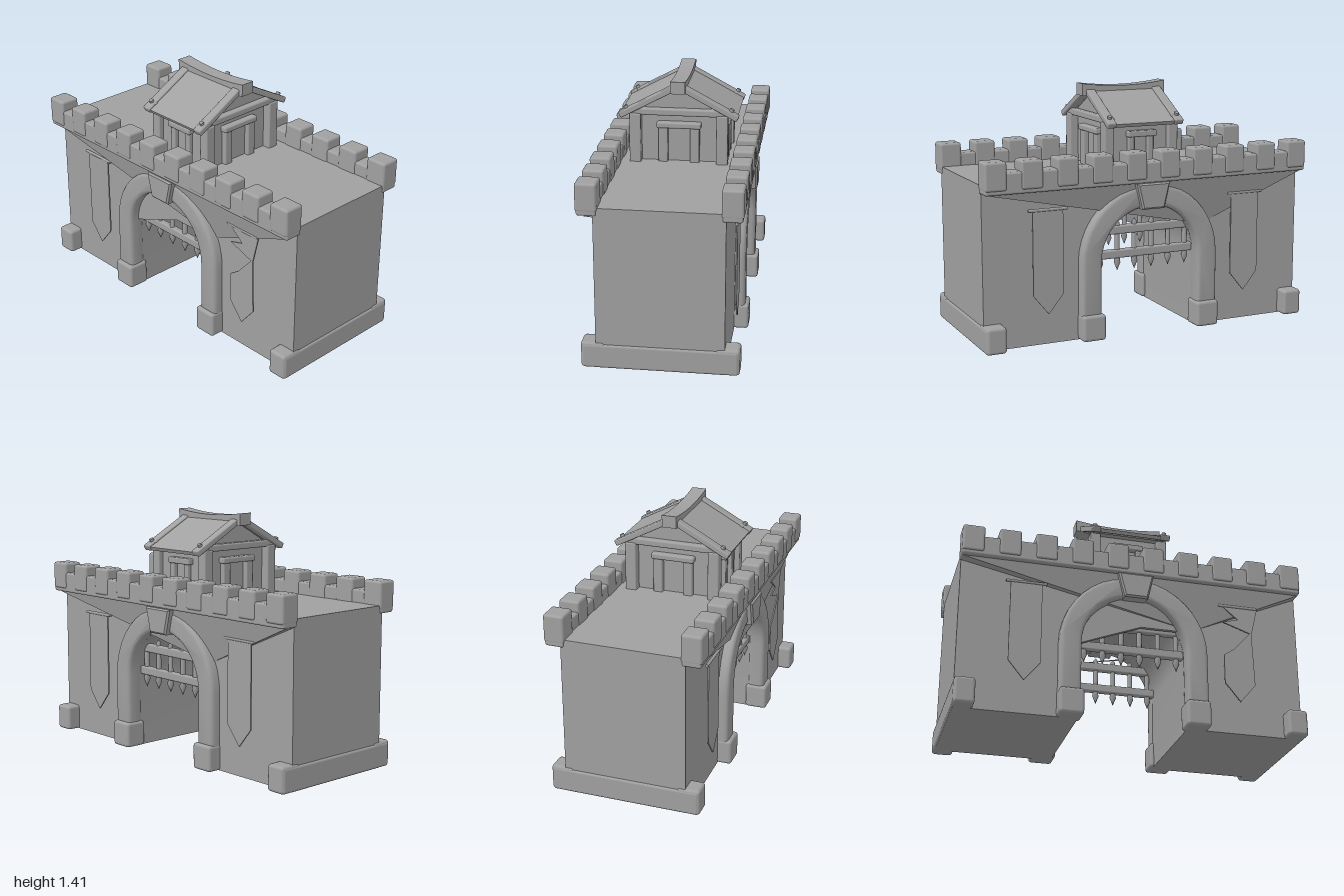
import * as THREE from 'three';
import { RoundedBoxGeometry } from 'three/addons/geometries/RoundedBoxGeometry.js';
import { toCreasedNormals } from 'three/addons/utils/BufferGeometryUtils.js';

const stone = new THREE.MeshStandardMaterial({ color: 0xa0a0a0 });
stone.name = 'grey stone';

function add(parent, name, geo, x = 0, y = 0, z = 0) {
  const m = new THREE.Mesh(geo, stone);
  m.name = name;
  m.position.set(x, y, z);
  parent.add(m);
  return m;
}

// Rounded block given by its min and max corners
function block(parent, name, [x0, y0, z0], [x1, y1, z1], r = 0.012) {
  const geo = new RoundedBoxGeometry(x1 - x0, y1 - y0, z1 - z0, 2, r);
  return add(parent, name, geo, (x0 + x1) / 2, (y0 + y1) / 2, (z0 + z1) / 2);
}

const polygon = (pts) => new THREE.Shape(pts.map(([x, y]) => new THREE.Vector2(x, y)));

function plate(pts, depth) {
  return new THREE.ExtrudeGeometry(polygon(pts), { depth, bevelEnabled: false });
}

// Points over an arch from the right leg to the left leg
function archPoints(r, base, cy, n = 20) {
  const pts = [[r, base]];
  for (let i = 0; i <= n; i++) {
    const a = (i / n) * Math.PI;
    pts.push([r * Math.cos(a), cy + r * Math.sin(a)]);
  }
  pts.push([-r, base]);
  return pts;
}

function buildWalls(g) {
  // Main block with an arched passage
  const outer = [[-0.99, 0], [-0.99, 0.925], [0.99, 0.925], [0.99, 0]];
  const core = plate([...outer, ...archPoints(0.31, 0, 0.43)], 0.68);
  add(g, 'gatehouseBody', toCreasedNormals(core, 0.6), 0, 0, -0.35);

  // Front skin with an uneven opening
  const skin = [...outer, [0.31, 0], [0.31, 0.59], [0.05, 0.59], [-0.31, 0.45], [-0.31, 0]];
  add(g, 'frontWall', plate(skin, 0.02), 0, 0, 0.33);

  // Plinths along both ends
  for (const s of [-1, 1]) {
    const b = block(g, 'endPlinth', [-0.025, 0, -0.425], [0.025, 0.14, 0.425], 0.015);
    b.position.x = s * 0.975;
  }
}

// Parapet, arch, footings, portcullis and corbel of one long side, facing +z
function buildFace(name, tornBanner) {
  const f = new THREE.Group();
  f.name = name;

  // Battlements
  block(f, 'parapet', [-0.997, 0.88, 0.33], [0.997, 1.0, 0.437]);
  for (let i = 0; i < 10; i++) {
    const x = -0.935 + i * 0.2078;
    block(f, 'merlon', [x - 0.063, 0.9, 0.325], [x + 0.063, 1.06, 0.443], 0.015);
  }

  // Sloping corbel under the parapet
  const A = [-0.99, 0.88, 0.41], B = [0.99, 0.88, 0.41], C = [0.35, 0.6, 0.35];
  const D = [-0.99, 0.88, 0.35], E = [0.99, 0.88, 0.35];
  const corbel = new THREE.BufferGeometry();
  corbel.setAttribute('position', new THREE.Float32BufferAttribute([A, C, B, A, D, C, B, C, E].flat(), 3));
  corbel.computeVertexNormals();
  add(f, 'corbel', corbel);

  // Arch moulding with keystone
  const ring = polygon([...archPoints(0.405, 0.1, 0.44), ...archPoints(0.325, 0.1, 0.44).reverse()]);
  const arch = new THREE.ExtrudeGeometry(ring, {
    depth: 0.05, bevelThickness: 0.025, bevelSize: 0.022, bevelSegments: 3,
  });
  add(f, 'archMoulding', toCreasedNormals(arch, 0.8), 0, 0, 0.335);
  const key = new THREE.ExtrudeGeometry(
    polygon([[-0.06, 0.74], [0.06, 0.74], [0.092, 0.87], [-0.092, 0.87]]),
    { depth: 0.08, bevelThickness: 0.01, bevelSize: 0.01, bevelSegments: 1 });
  add(f, 'keystone', key, 0, 0, 0.353);

  // Footing blocks
  for (const s of [-1, 1]) {
    for (const [x, w] of [[0.36, 0.14], [0.94, 0.115]]) {
      block(f, 'footing', [s * x - w / 2, 0, 0.3], [s * x + w / 2, 0.15, 0.432], 0.018);
    }
  }

  // Portcullis
  const gate = new THREE.Group();
  gate.name = 'portcullis';
  for (const y of [0.46, 0.6]) block(gate, 'gateBar', [-0.31, y - 0.025, 0.275], [0.31, y + 0.025, 0.315], 0.01);
  for (let i = 0; i < 6; i++) {
    const x = -0.27 + i * 0.108;
    const spike = new THREE.LatheGeometry(
      [[0, 0.36], [0.02, 0.41], [0.015, 0.44], [0.015, 0.64], [0, 0.66]].map((p) => new THREE.Vector2(...p)), 8);
    add(gate, 'gateSpike', spike, x, 0, 0.295);
  }
  f.add(gate);

  // Hanging banners
  const whole = [[-0.09, 0.77], [-0.09, 0.29], [0, 0.18], [0.09, 0.29], [0.09, 0.77]];
  const torn = [[-0.09, 0.46], [-0.09, 0.29], [0, 0.18], [0.09, 0.29], [0.08, 0.6], [0.12, 0.765],
    [-0.09, 0.765], [0, 0.69], [-0.09, 0.665], [0.07, 0.61], [-0.03, 0.5]];
  for (const s of [-1, 1]) {
    const pts = s > 0 && tornBanner ? torn : whole;
    add(f, 'banner', plate(pts, 0.008), s * 0.62, 0, 0.378);
    const rod = add(f, 'bannerRod', new THREE.CylinderGeometry(0.009, 0.009, 0.23, 8), s * 0.62, 0.77, 0.382);
    rod.rotation.z = Math.PI / 2;
  }
  return f;
}

function buildHut() {
  const h = new THREE.Group();
  h.name = 'rooftopHut';
  add(h, 'hutWalls', new THREE.BoxGeometry(0.36, 0.3, 0.5), 0, 1.06, 0);

  // Gable ends
  const gable = plate([[-0.29, 1.2], [0.29, 1.2], [0, 1.36]], 0.36);
  add(h, 'gables', gable, -0.18, 0, 0).rotation.y = Math.PI / 2;
  const gables = h.children[h.children.length - 1];
  gables.position.set(-0.18, 0, 0);

  const slope = 0.493;
  for (const s of [-1, 1]) {
    // Roof slope with edge boards
    const roof = new THREE.Group();
    roof.name = 'roofSlope';
    roof.position.set(0, 1.285, s * 0.165);
    roof.rotation.x = s * slope;
    add(roof, 'roofPanel', new THREE.BoxGeometry(0.4, 0.022, 0.375));
    for (const e of [-1, 1]) {
      add(roof, 'edgeBoard', new RoundedBoxGeometry(0.055, 0.035, 0.385, 2, 0.008), e * 0.21, 0.004, 0);
      const peg = new THREE.CylinderGeometry(0.013, 0.013, 0.02, 8);
      add(roof, 'peg', peg, e * 0.21, 0.026, s * 0.14);
    }
    h.add(roof);

    // Corner posts, wall posts and tie beams
    for (const e of [-1, 1]) {
      block(h, 'cornerPost', [e * 0.2 - 0.03, 0.91, s * 0.248 - 0.033], [e * 0.2 + 0.03, 1.21, s * 0.248 + 0.033], 0.008);
    }
    block(h, 'tieBeam', [s * 0.2 - 0.022, 1.2, -0.3], [s * 0.2 + 0.022, 1.24, 0.3], 0.01);

    // End doorway
    const x = s * 0.19;
    for (const z of [-0.09, 0.09]) block(h, 'doorPost', [x - 0.02, 0.91, z - 0.027], [x + 0.02, 1.13, z + 0.027], 0.008);
    block(h, 'doorLintel', [x - 0.03, 1.125, -0.127], [x + 0.03, 1.16, 0.127], 0.01);

    // Window frame on the long walls
    const z = s * 0.255;
    for (const e of [-1, 1]) block(h, 'windowPost', [e * 0.06 - 0.018, 0.91, z - 0.02], [e * 0.06 + 0.018, 1.13, z + 0.02], 0.006);
    block(h, 'windowLintel', [-0.095, 1.12, z - 0.03], [0.085, 1.155, z + 0.03], 0.008);
  }

  // Sagging ridge beam
  const ridge = new THREE.BoxGeometry(0.525, 0.07, 0.085, 10, 1, 1);
  const p = ridge.attributes.position;
  for (let i = 0; i < p.count; i++) {
    const t = p.getX(i) / 0.2625;
    p.setY(i, p.getY(i) - 0.02 * (1 - t * t));
  }
  ridge.computeVertexNormals();
  add(h, 'ridgeBeam', ridge, 0, 1.376, 0);
  return h;
}

export function createModel() {
  const g = new THREE.Group();
  g.name = 'castleGatehouse';
  buildWalls(g);
  g.add(buildFace('frontFace', true));
  const back = buildFace('backFace', false);
  back.rotation.y = Math.PI;
  g.add(back);
  g.add(buildHut());
  return g;
}
